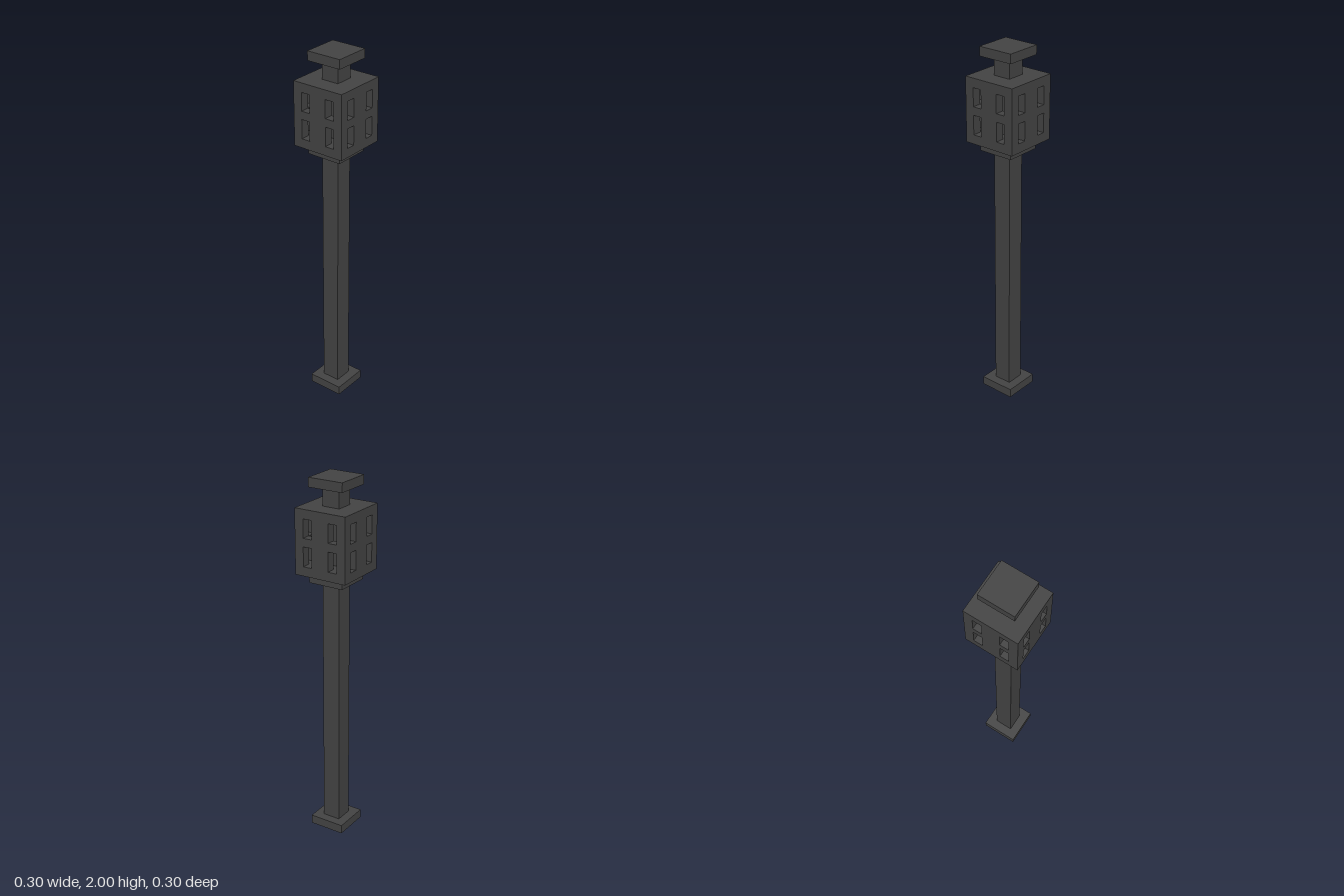
import * as THREE from 'three';

export function createModel() {
  const model = new THREE.Group();
  model.name = 'lampPost';
  const iron = new THREE.MeshStandardMaterial({ color: 0x444444 });
  iron.name = 'dark iron';

  // Square block centred on the axis, from height y0 to y1
  const block = (name, width, y0, y1) => {
    const mesh = new THREE.Mesh(new THREE.BoxGeometry(width, y1 - y0, width), iron);
    mesh.name = name;
    mesh.position.y = (y0 + y1) / 2;
    model.add(mesh);
  };
  block('basePlate', 0.2, 0, 0.05);
  block('post', 0.1, 0.05, 1.45);
  block('lanternCollar', 0.2, 1.45, 1.5);
  block('lanternFloor', 0.3, 1.5, 1.55);
  block('lanternCore', 0.1, 1.55, 1.8);
  block('lanternRoof', 0.3, 1.8, 1.85);
  block('neck', 0.1, 1.85, 1.95);
  block('cap', 0.2, 1.95, 2);

  // Lantern wall: two side posts, a wide middle post and a cross bar leave four windows
  const wallPart = (wall, name, w, y0, y1, x) => {
    const mesh = new THREE.Mesh(new THREE.BoxGeometry(w, y1 - y0, 0.05), iron);
    mesh.name = name;
    mesh.position.set(x, (y0 + y1) / 2, 0.125);
    wall.add(mesh);
  };
  ['front', 'left', 'back', 'right'].forEach((side, i) => {
    const wall = new THREE.Group();
    wall.name = side + 'LanternWall';
    wall.rotation.y = i * Math.PI / 2;
    wallPart(wall, 'cornerPost', 0.05, 1.55, 1.8, 0.125);
    wallPart(wall, 'middlePost', 0.1, 1.55, 1.8, 0);
    for (const s of [-1, 1]) wallPart(wall, 'crossBar', 0.05, 1.655, 1.7, s * 0.075);
    model.add(wall);
  });
  return model;
}
